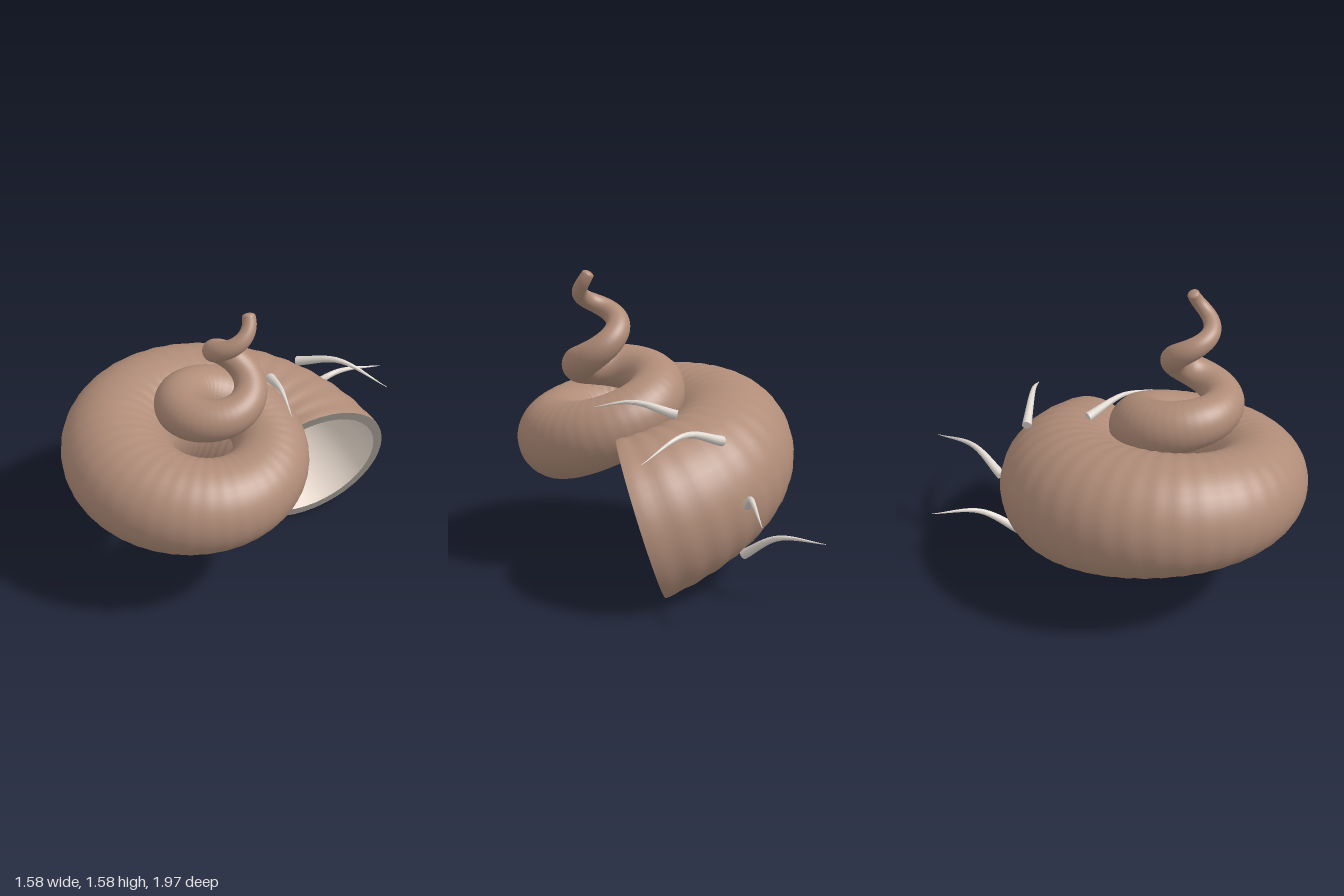
import * as THREE from 'three';
import { toCreasedNormals } from 'three/addons/utils/BufferGeometryUtils.js';

const TURNS = 3;
const DECAY = 0.85; // exponential shrink per turn
const UP = new THREE.Vector3(0, 1, 0);

const material = (color) => new THREE.MeshStandardMaterial({ color });

// Skin a row of closed rings; ring(i) returns { center, n, b, r }
function loft(rows, sides, ring, flip = false) {
  const pos = [], index = [];
  for (let i = 0; i <= rows; i++) {
    const { center, n, b, r } = ring(i);
    for (let j = 0; j < sides; j++) {
      const a = (j / sides) * Math.PI * 2;
      const p = center.clone().addScaledVector(n, r * Math.cos(a)).addScaledVector(b, r * Math.sin(a));
      pos.push(p.x, p.y, p.z);
      if (i === rows) continue;
      const k = (j + 1) % sides;
      const p0 = i * sides + j, p1 = i * sides + k, q0 = p0 + sides, q1 = p1 + sides;
      if (flip) index.push(p0, q0, p1, p1, q0, q1);
      else index.push(p0, p1, q0, p1, q1, q0);
    }
  }
  const g = new THREE.BufferGeometry();
  g.setAttribute('position', new THREE.Float32BufferAttribute(pos, 3));
  g.setIndex(index);
  g.computeVertexNormals();
  return g;
}

// Centre line of the shell: t counts turns from the mouth to the tip
function spiral(t) {
  const a = THREE.MathUtils.degToRad(39) + t * Math.PI * 2;
  const R = 0.655 * Math.exp(-DECAY * t);
  return new THREE.Vector3(R * Math.cos(a), 0.38 * t, -R * Math.sin(a));
}

// Section of the shell, its first axis pointing away from the spiral axis
function section(t, r) {
  const center = spiral(t);
  const n = new THREE.Vector3(center.x, 0, center.z).normalize();
  const tangent = spiral(t + 0.001).sub(spiral(t - 0.001));
  const b = tangent.cross(n).normalize();
  return { center, n, b, r };
}

const shellRadius = (t) => 0.415 * Math.exp(-DECAY * t);

// Curved, tapering spine through three points, with a flat base
function spineGeometry(points) {
  const curve = new THREE.CatmullRomCurve3(points.map((p) => new THREE.Vector3(...p)));
  const steps = 16;
  const frames = curve.computeFrenetFrames(steps);
  const g = loft(steps + 1, 12, (i) => {
    const k = Math.max(i - 1, 0); // first ring closes the base
    return {
      center: curve.getPointAt(k / steps),
      n: frames.normals[k],
      b: frames.binormals[k],
      r: i === 0 ? 0 : 0.026 * (1 - 0.95 * (k / steps)),
    };
  });
  return toCreasedNormals(g, Math.PI / 4);
}

export function createModel() {
  const model = new THREE.Group();
  model.name = 'spiralShell';

  // Coiled shell on a slightly leaning axis
  const coil = new THREE.Group();
  coil.name = 'coil';
  coil.position.set(-0.045, 0.465, 0.325);
  coil.quaternion.setFromUnitVectors(UP, new THREE.Vector3(0.073, 0.37, 0.04).normalize());
  model.add(coil);

  const add = (parent, name, geometry, mat) => {
    const mesh = new THREE.Mesh(geometry, mat);
    mesh.name = name;
    parent.add(mesh);
  };

  // Outer wall with faint growth ridges, rounded off at the tip
  const rows = 200 * TURNS, capRows = 5;
  add(coil, 'outerWall', loft(rows + capRows, 40, (i) => {
    const t = (Math.min(i, rows) / rows) * TURNS;
    const ridge = 1 + 0.007 * Math.sin(t * 40 * Math.PI * 2) * Math.exp(-t);
    const s = section(t, shellRadius(t) * ridge);
    if (i > rows) {
      const a = ((i - rows) / capRows) * Math.PI / 2;
      const forward = s.n.clone().cross(s.b);
      s.center.addScaledVector(forward, s.r * 0.5 * Math.sin(a));
      s.r *= Math.cos(a);
    }
    return s;
  }), material(0xb08c78));

  // Pale lining seen through the mouth
  add(coil, 'innerLining', loft(160, 40, (i) => {
    const t = i / 160;
    return section(t, shellRadius(t) * 0.88);
  }, true), material(0xeadcd0));

  // Flat lip joining lining and outer wall
  add(coil, 'lip', loft(1, 40, (i) => section(0, shellRadius(0) * (i ? 1 : 0.88))), material(0xa09890));

  // Spines: base, middle, tip
  const spines = [
    [[0.19, 0.23, -0.53], [0.21, 0.36, -0.74], [0.20, 0.375, -1.0]],
    [[0.29, 0.53, -0.61], [0.47, 0.62, -0.74], [0.69, 0.58, -0.93]],
    [[0.29, 0.83, -0.46], [0.53, 0.90, -0.40], [0.80, 0.81, -0.34]],
    [[0.21, 0.90, -0.14], [0.31, 0.96, 0.06], [0.40, 0.93, 0.24]],
    [[0.02, 0.35, 0.0], [-0.09, 0.45, 0.16], [-0.02, 0.50, 0.36]],
    [[0.10, 0.31, -0.32], [0.07, 0.20, -0.15], [0.03, 0.14, 0.0]],
  ];
  const spineMaterial = material(0xe0d8d0);
  spines.forEach((p, i) => add(model, `spine${i + 1}`, spineGeometry(p), spineMaterial));

  return model;
}
